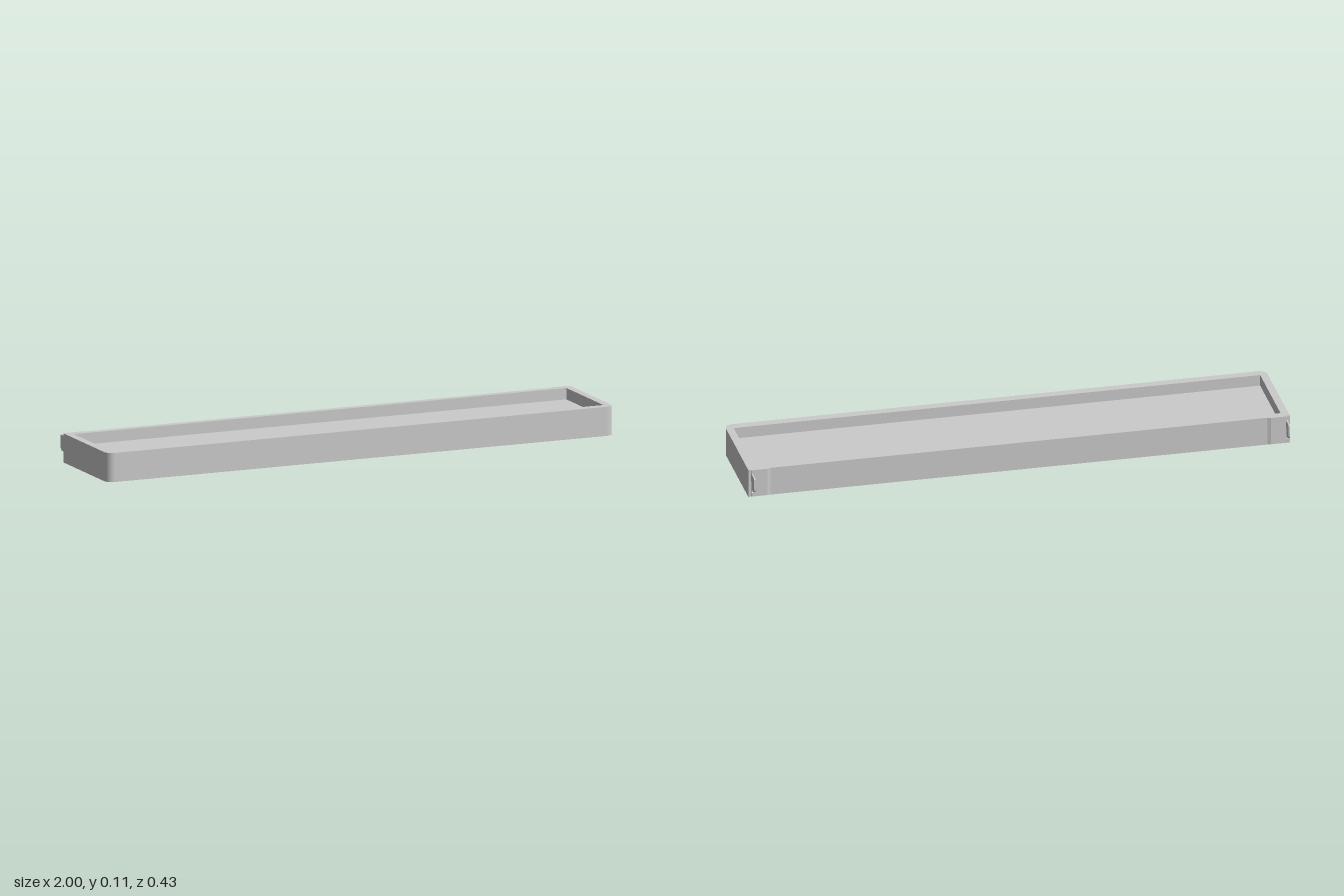
import * as THREE from 'three';

const material = new THREE.MeshStandardMaterial({ color: 0xcccccc, side: THREE.DoubleSide });

const HEIGHT = 0.107, FRONT = 0.217, BACK = -0.167, RADIUS = 0.03;

function addMesh(parent, name, geometry) {
  const mesh = new THREE.Mesh(geometry, material);
  mesh.name = name;
  parent.add(mesh);
  return mesh;
}

// Extrudes a plan outline, drawn as (x, -z), upwards
function extrudeUp(shape, height, y) {
  const g = new THREE.ExtrudeGeometry(shape, { depth: height, bevelEnabled: false, curveSegments: 10 });
  return g.rotateX(-Math.PI / 2).translate(0, y, 0);
}

// Extrudes a side outline, drawn as (-z, y), along x with its centre at x
function extrudeAcross(shape, width, x) {
  const g = new THREE.ExtrudeGeometry(shape, { depth: width, bevelEnabled: false, curveSegments: 8 });
  return g.rotateY(Math.PI / 2).translate(x - width / 2, 0, 0);
}

function polygon(points) {
  return new THREE.Shape(points.map(([x, y]) => new THREE.Vector2(x, y)));
}

// Rim with rounded front corners and a rectangular opening
function frameShape() {
  const s = new THREE.Shape();
  s.moveTo(-1, -BACK);
  s.lineTo(-1, -FRONT + RADIUS);
  s.absarc(-1 + RADIUS, -FRONT + RADIUS, RADIUS, Math.PI, Math.PI * 1.5, false);
  s.lineTo(1 - RADIUS, -FRONT);
  s.absarc(1 - RADIUS, -FRONT + RADIUS, RADIUS, -Math.PI / 2, 0, false);
  s.lineTo(1, -BACK);
  s.closePath();
  s.holes.push(polygon([[-0.972, 0.14], [0.972, 0.14], [0.972, -0.184], [-0.972, -0.184]]));
  return s;
}

// Hook: arm reaching back, then a finger pointing down
function hookShape() {
  const s = new THREE.Shape();
  s.moveTo(0.166, 0.093);
  s.lineTo(0.209, 0.093);
  s.quadraticCurveTo(0.217, 0.093, 0.217, 0.085);
  s.lineTo(0.217, 0.053);
  s.quadraticCurveTo(0.216, 0.036, 0.199, 0.035);
  s.lineTo(0.182, 0.035);
  s.lineTo(0.182, 0.061);
  s.quadraticCurveTo(0.181, 0.068, 0.175, 0.068);
  s.lineTo(0.166, 0.068);
  s.closePath();
  return s;
}

export function createModel() {
  const model = new THREE.Group();
  model.name = 'shelf';

  addMesh(model, 'frame', extrudeUp(frameShape(), HEIGHT, 0));

  // Panel set in the middle of the frame's height
  const panel = addMesh(model, 'panel', new THREE.BoxGeometry(1.944, 0.022, 0.324));
  panel.position.set(0, 0.054, 0.022);

  // Hooked mounting bracket at each end of the back
  for (const side of [1, -1]) {
    const bracket = new THREE.Group();
    bracket.name = side > 0 ? 'leftBracket' : 'rightBracket';
    const plate = polygon([[0.915, 0.166], [0.99, 0.166], [0.99, 0.172], [0.93, 0.172]]
      .map(([x, z]) => [x * side, z]));
    addMesh(bracket, 'mountingPlate', extrudeUp(plate, HEIGHT - 0.002, 0.002));
    addMesh(bracket, 'hook', extrudeAcross(hookShape(), 0.006, side * 0.987));
    const tab = polygon([[0.166, 0.005], [0.173, 0.005], [0.174, 0.017], [0.171, 0.021], [0.166, 0.021]]);
    addMesh(bracket, 'lowerTab', extrudeAcross(tab, 0.006, side * 0.987));
    model.add(bracket);
  }
  return model;
}
